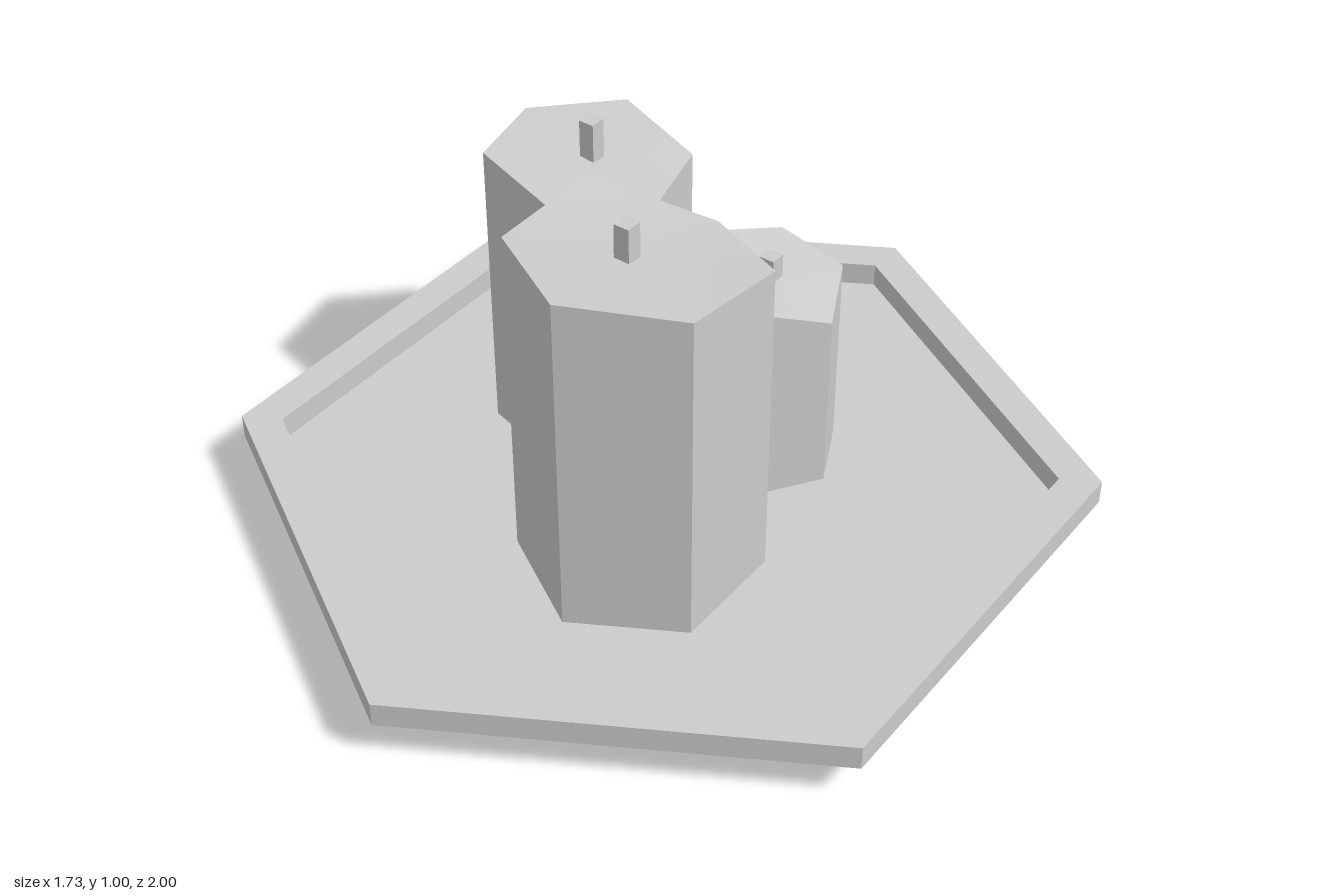
import * as THREE from 'three';
import { toCreasedNormals } from 'three/addons/utils/BufferGeometryUtils.js';

const FLOOR = 0.1;
const material = new THREE.MeshStandardMaterial({ color: 0xcccccc });
const flatMaterial = new THREE.MeshStandardMaterial({ color: 0xcccccc, flatShading: true });

function addMesh(parent, name, geometry, mat) {
  const mesh = new THREE.Mesh(geometry, mat);
  mesh.name = name;
  parent.add(mesh);
  return mesh;
}

// Six-sided candle; heights holds the melted rim height at each corner, starting near +z
function createCandle({ name, x, z, radius, turn, heights, wick }) {
  const candle = new THREE.Group();
  candle.name = name;
  candle.position.set(x, 0, z);

  const geometry = new THREE.CylinderGeometry(radius, radius, 1, 6, 1, false, turn);
  const middle = heights.reduce((sum, h) => sum + h, 0) / 6;
  const pos = geometry.attributes.position;
  for (let i = 0; i < pos.count; i++) {
    const px = pos.getX(i), pz = pos.getZ(i);
    const corner = Math.round((Math.atan2(px, pz) - turn) / (Math.PI / 3));
    const rim = Math.hypot(px, pz) < 1e-4 ? middle : heights[(corner + 12) % 6];
    pos.setY(i, pos.getY(i) > 0 ? rim : FLOOR);
  }
  addMesh(candle, 'wax', toCreasedNormals(geometry, 0.7), material);

  // Wick, sunk slightly into the wax
  const bottom = middle - 0.02;
  const stick = addMesh(candle, 'wick', new THREE.BoxGeometry(0.038, wick.top - bottom, 0.038), flatMaterial);
  stick.position.set(wick.x - x, (wick.top + bottom) / 2, wick.z - z);
  return candle;
}

export function createModel() {
  const model = new THREE.Group();
  model.name = 'candleTray';

  // Hexagonal tray with bevelled underside and raised rim
  const profile = [[0, 0], [0.893, 0], [1, FLOOR], [1, 0.16], [0.903, 0.16], [0.903, FLOOR], [0, FLOOR]]
    .map(([r, y]) => new THREE.Vector2(r, y));
  addMesh(model, 'tray', new THREE.LatheGeometry(profile, 6), flatMaterial);

  // Three candles
  const candles = [
    {
      name: 'largeCandle', x: 0.126, z: 0.257, radius: 0.278, turn: 0,
      heights: [0.95, 0.93, 0.893, 0.838, 0.933, 0.93], wick: { x: 0.12, z: 0.285, top: 1 },
    },
    {
      name: 'mediumCandle', x: -0.278, z: -0.092, radius: 0.234, turn: 0.281,
      heights: [0.82, 0.795, 0.787, 0.82, 0.82, 0.84], wick: { x: -0.267, z: -0.09, top: 0.907 },
    },
    {
      name: 'smallCandle', x: 0.143, z: -0.203, radius: 0.174, turn: 0.453,
      heights: [0.615, 0.55, 0.585, 0.61, 0.64, 0.62], wick: { x: 0.145, z: -0.2, top: 0.655 },
    },
  ];
  candles.forEach((c) => model.add(createCandle(c)));
  return model;
}
